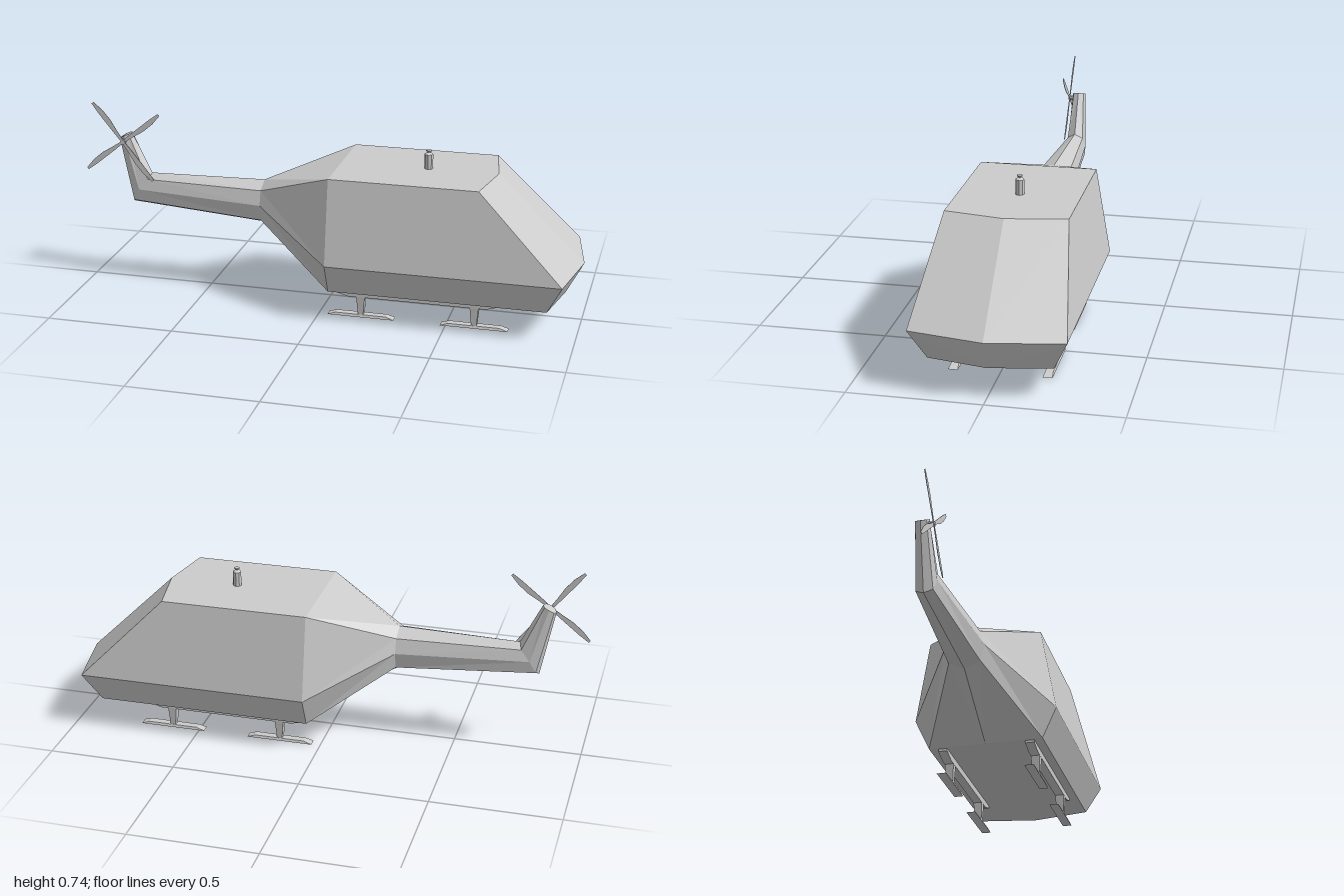
import * as THREE from 'three';

const material = new THREE.MeshStandardMaterial({ color: 0xcccccc, flatShading: true });
const thinMaterial = new THREE.MeshStandardMaterial({ color: 0xcccccc, flatShading: true, side: THREE.DoubleSide });

function add(parent, name, geometry, x = 0, y = 0, z = 0, mat = material) {
  const mesh = new THREE.Mesh(geometry, mat);
  mesh.name = name;
  mesh.position.set(x, y, z);
  parent.add(mesh);
  return mesh;
}

// Skins half sections (upper ridge to keel, z >= 0) and mirrors them across z = 0.
function mirroredLoft(stations) {
  const positions = [];
  const same = (p, q) => p.every((v, k) => v === q[k]);
  const triangle = (a, b, c) => {
    if (same(a, b) || same(b, c) || same(a, c)) return;
    positions.push(...a, ...b, ...c);
    for (const [x, y, z] of [a, c, b]) positions.push(x, y, -z);
  };
  for (let i = 0; i < stations.length - 1; i++) {
    for (let j = 0; j < stations[i].length - 1; j++) {
      const a = stations[i][j], b = stations[i + 1][j];
      const c = stations[i + 1][j + 1], d = stations[i][j + 1];
      triangle(a, d, c);
      triangle(a, c, b);
    }
  }
  const geometry = new THREE.BufferGeometry();
  geometry.setAttribute('position', new THREE.Float32BufferAttribute(positions, 3));
  geometry.computeVertexNormals();
  return geometry;
}

// Extrudes an outline in x, y to a depth centred on z = 0.
function plate(points, depth) {
  const shape = new THREE.Shape(points.map(([x, y]) => new THREE.Vector2(x, y)));
  return new THREE.ExtrudeGeometry(shape, { depth, bevelEnabled: false }).translate(0, 0, -depth / 2);
}

// Box standing on y = 0 with a different size at its top.
function taperedBox(bottomX, bottomZ, topX, topZ, height) {
  const geometry = new THREE.BoxGeometry(1, height, 1).translate(0, height / 2, 0);
  const p = geometry.attributes.position;
  for (let i = 0; i < p.count; i++) {
    const top = p.getY(i) > height / 2;
    p.setX(i, p.getX(i) * (top ? topX : bottomX));
    p.setZ(i, p.getZ(i) * (top ? topZ : bottomZ));
  }
  geometry.computeVertexNormals();
  return geometry;
}

export function createModel() {
  const model = new THREE.Group();
  model.name = 'helicopter';

  // Fuselage, tail boom and upright fin as one faceted skin, fin tip to nose
  const finTip = [-0.848, 0.608, 0];
  const roofTip = [0.66, 0.565, 0], keelTip = [0.935, 0.11, 0];
  add(model, 'fuselage', mirroredLoft([
    Array(5).fill(finTip),
    [[-0.82, 0.617, 0], [-0.828, 0.615, 0.021], [-0.846, 0.608, 0.027], [-0.865, 0.597, 0.021], [-0.872, 0.592, 0]],
    [[-0.74, 0.455, 0], [-0.75, 0.435, 0.032], [-0.785, 0.392, 0.04], [-0.81, 0.345, 0.032], [-0.82, 0.33, 0]],
    [[-0.27, 0.465, 0], [-0.27, 0.438, 0.062], [-0.27, 0.38, 0.078], [-0.27, 0.315, 0.062], [-0.27, 0.288, 0]],
    [[0.045, 0.565, 0], [0.045, 0.565, 0.228], [0.045, 0.233, 0.285], [0.045, 0.11, 0.228], [0.045, 0.11, 0]],
    [roofTip, [0.62, 0.565, 0.228], [0.95, 0.233, 0.285], [0.89, 0.11, 0.228], keelTip],
    [roofTip, roofTip, [1, 0.233, 0], keelTip, keelTip],
  ]));

  // Rotor mast on the roof
  const mastProfile = [[0, 0], [0.017, 0], [0.017, 0.057], [0.014, 0.06], [0.005, 0.064],
    [0.005, 0.068], [0.011, 0.069], [0.011, 0.073], [0, 0.073]];
  add(model, 'rotorMast', new THREE.LatheGeometry(
    mastProfile.map(([x, y]) => new THREE.Vector2(x, y)), 8), 0.387, 0.565, 0);

  // Tail rotor: hub and four thin leaf-shaped blades
  const tailRotor = new THREE.Group();
  tailRotor.name = 'tailRotor';
  tailRotor.position.set(-0.845, 0.588, 0);
  model.add(tailRotor);
  add(tailRotor, 'tailRotorHub', new THREE.CylinderGeometry(0.01, 0.01, 0.03, 8).rotateX(Math.PI / 2), 0, 0, 0.031);
  const blade = plate([[0, -0.005], [0.05, -0.009], [0.1, -0.015], [0.15, -0.013], [0.196, -0.003],
    [0.196, 0.007], [0.15, 0.009], [0.1, 0.008], [0.05, 0.007], [0, 0.005]], 0.002);
  for (let i = 0; i < 4; i++) {
    add(tailRotor, 'tailRotorBlade', blade, 0, 0, 0.042, thinMaterial).rotation.z = 0.66 + i * Math.PI / 2;
  }

  // Landing gear: a rail under each side carrying two posts with flat skis
  const rail = plate([[0.055, 0.112], [0.055, 0.1], [0.115, 0.083], [0.655, 0.083], [0.715, 0.1], [0.715, 0.112]], 0.036);
  const post = taperedBox(0.02, 0.027, 0.034, 0.036, 0.078);
  const ski = taperedBox(0.262, 0.036, 0.2, 0.029, 0.01);
  for (const side of [-1, 1]) {
    const gear = new THREE.Group();
    gear.name = side > 0 ? 'frontSideLandingGear' : 'backSideLandingGear';
    gear.position.z = side * 0.175;
    model.add(gear);
    add(gear, 'skidRail', rail);
    for (const x of [0.166, 0.61]) {
      add(gear, 'skidPost', post, x, 0.008, 0);
      add(gear, 'ski', ski, x, 0, 0);
    }
  }
  return model;
}
